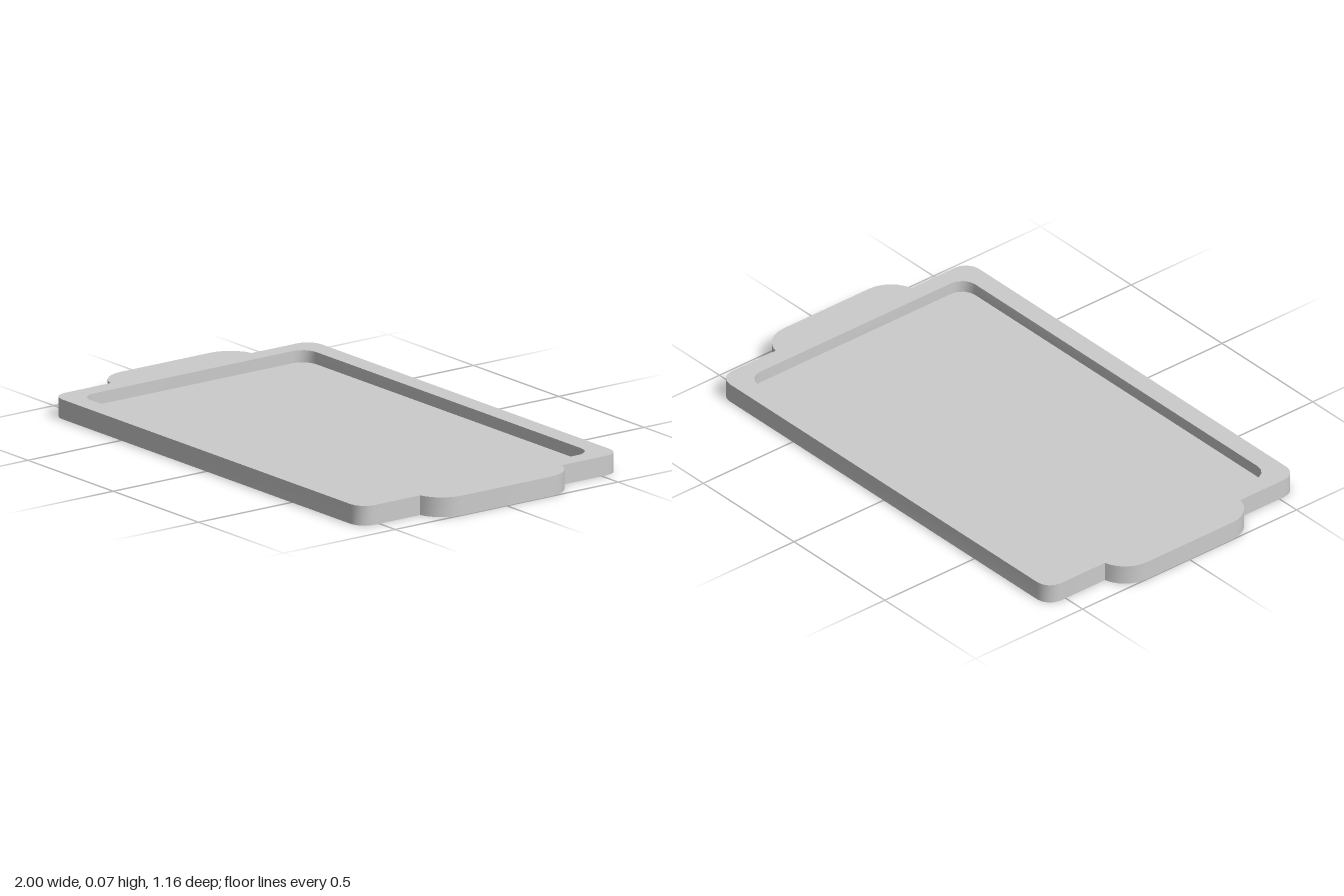
import * as THREE from 'three';
import { toCreasedNormals } from 'three/addons/utils/BufferGeometryUtils.js';

const HEIGHT = 0.073;
const FLOOR = 0.028;

// Points of an arc, counter-clockwise, angles in degrees
function arc(cx, cy, r, from, to, steps) {
  return Array.from({ length: steps + 1 }, (_, i) => {
    const a = THREE.MathUtils.degToRad(from + (to - from) * i / steps);
    return new THREE.Vector2(cx + r * Math.cos(a), cy + r * Math.sin(a));
  });
}

// Closes a right-hand half outline by turning it half round
const closeOutline = half => [...half, ...half.map(p => p.clone().negate())];

// Upright wall along an outline; faces outward when the outline is counter-clockwise
function wall(points, bottom, top) {
  const v = [];
  points.forEach((p, i) => {
    const q = points[(i + 1) % points.length];
    const a = [p.x, bottom, -p.y], b = [q.x, bottom, -q.y];
    const c = [q.x, top, -q.y], d = [p.x, top, -p.y];
    v.push(...a, ...b, ...c, ...a, ...c, ...d);
  });
  const g = new THREE.BufferGeometry();
  g.setAttribute('position', new THREE.Float32BufferAttribute(v, 3));
  return toCreasedNormals(g, 0.7);
}

// Flat horizontal sheet, facing up or down
function sheet(points, y, facing, hole) {
  const shape = new THREE.Shape(points);
  if (hole) shape.holes.push(new THREE.Path(hole));
  return new THREE.ShapeGeometry(shape).rotateX(-facing * Math.PI / 2).translate(0, y, 0);
}

export function createModel() {
  const group = new THREE.Group();
  group.name = 'servingTray';
  const material = new THREE.MeshStandardMaterial({ color: 0xcccccc });
  const add = (name, geometry) => {
    const mesh = new THREE.Mesh(geometry, material);
    mesh.name = name;
    group.add(mesh);
  };

  // Outer outline: rounded corners with a rounded handle at each end
  const outer = closeOutline([
    ...arc(0.847, -0.522, 0.06, -90, 0, 4),
    ...arc(0.88, -0.2, 0.12, -77, 0, 6),
    ...arc(0.88, 0.2, 0.12, 0, 77, 6),
    ...arc(0.847, 0.522, 0.06, 0, 90, 4),
  ]);

  // Recess outline
  const inner = closeOutline([
    ...arc(0.778, -0.446, 0.06, -90, 0, 4),
    ...arc(0.778, 0.446, 0.06, 0, 90, 4),
  ]);

  add('underside', sheet(outer, 0, -1));
  add('outerWall', wall(outer, 0, HEIGHT));
  add('rimAndHandles', sheet(outer, HEIGHT, 1, inner));
  add('recessWall', wall([...inner].reverse(), FLOOR, HEIGHT));
  add('trayFloor', sheet(inner, FLOOR, 1));

  return group;
}
